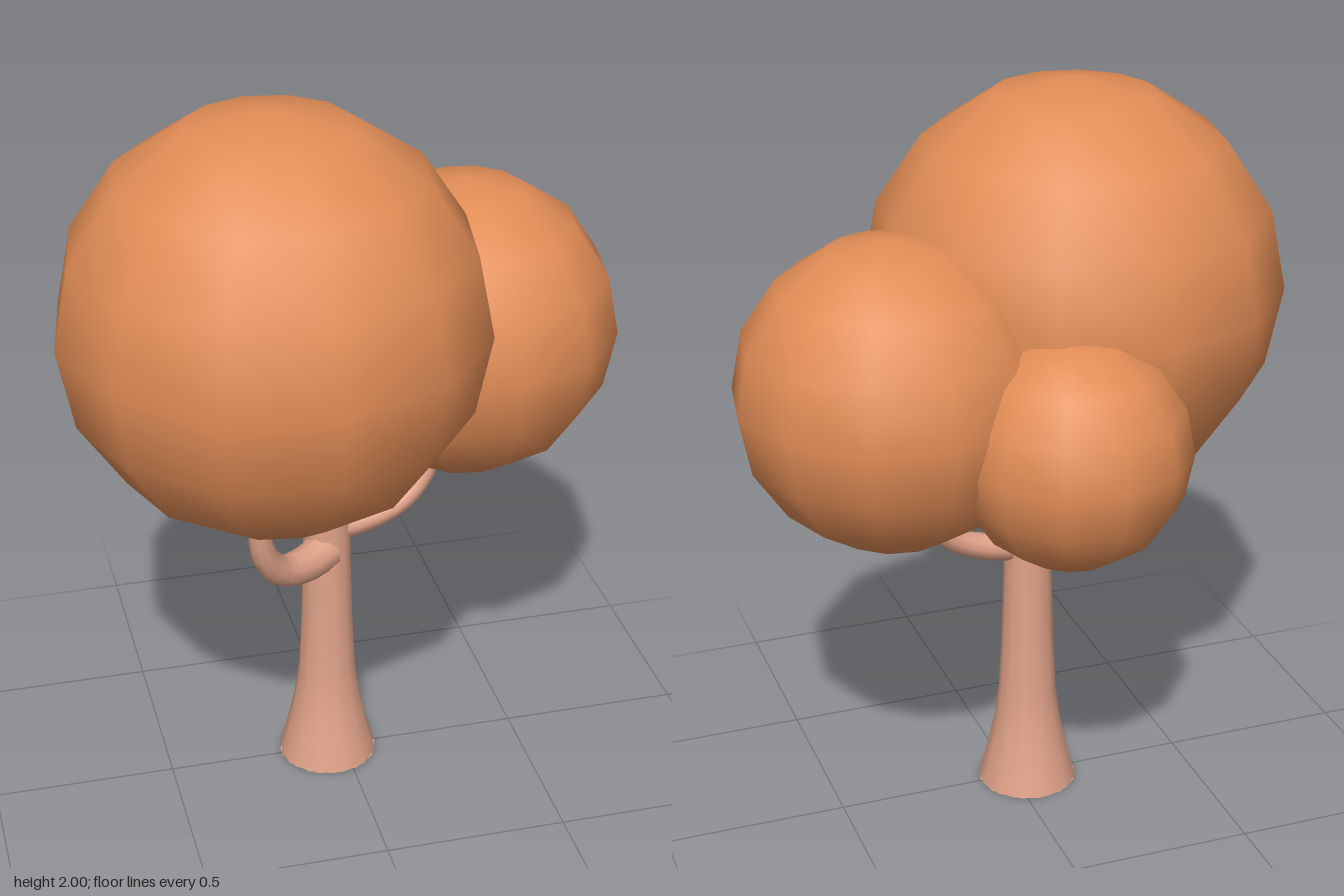
import * as THREE from 'three';

const TURN = 0.096; // slight turn shared by all round parts
const leafMaterial = new THREE.MeshStandardMaterial({ color: 0xe28d56 });
const barkMaterial = new THREE.MeshStandardMaterial({ color: 0xe0a288 });
barkMaterial.side = THREE.DoubleSide;

function add(group, name, geometry, material) {
  const mesh = new THREE.Mesh(geometry, material);
  mesh.name = name;
  group.add(mesh);
  return mesh;
}

// Tube along a smooth curve whose radius shrinks from r0 to r1
function taperedTube(points, r0, r1, rings = 14, sides = 10) {
  const curve = new THREE.CatmullRomCurve3(points.map((p) => new THREE.Vector3(...p)));
  const geometry = new THREE.TubeGeometry(curve, rings, 1, sides);
  const pos = geometry.attributes.position;
  const v = new THREE.Vector3();
  for (let i = 0; i <= rings; i++) {
    const centre = curve.getPointAt(i / rings);
    const r = THREE.MathUtils.lerp(r0, r1, i / rings);
    for (let j = 0; j <= sides; j++) {
      const k = i * (sides + 1) + j;
      v.fromBufferAttribute(pos, k).sub(centre).multiplyScalar(r).add(centre);
      pos.setXYZ(k, v.x, v.y, v.z);
    }
  }
  return geometry;
}

export function createModel() {
  const tree = new THREE.Group();
  tree.name = 'tree';

  // Trunk, flared at the foot
  const profile = [
    [0.137, 0], [0.112, 0.1], [0.093, 0.19], [0.08, 0.29],
    [0.072, 0.46], [0.067, 0.65], [0.063, 0.9], [0.06, 1.0],
  ].map(([r, y]) => new THREE.Vector2(r, y));
  const trunk = add(tree, 'trunk', new THREE.LatheGeometry(profile, 12, TURN), barkMaterial);
  trunk.position.set(-0.045, 0, -0.005);

  // Underside of the trunk
  const base = add(tree, 'trunkBase', new THREE.CircleGeometry(0.137, 12, TURN), barkMaterial);
  base.rotation.x = Math.PI / 2;
  base.position.set(-0.045, 0, -0.005);

  // Branches curving up into the crowns
  add(tree, 'frontBranch', taperedTube([
    [-0.055, 0.68, 0.02], [-0.12, 0.67, 0.065], [-0.2, 0.69, 0.115],
    [-0.25, 0.76, 0.145], [-0.268, 0.86, 0.157], [-0.272, 0.98, 0.16],
  ], 0.056, 0.02), barkMaterial);
  add(tree, 'sideBranch', taperedTube([
    [-0.03, 0.735, -0.005], [0.06, 0.745, -0.007], [0.15, 0.775, -0.01],
    [0.21, 0.82, -0.018], [0.25, 0.88, -0.025], [0.28, 0.97, -0.03],
  ], 0.043, 0.02), barkMaterial);
  add(tree, 'backBranch', taperedTube([
    [-0.045, 0.775, -0.01], [-0.045, 0.78, -0.08], [-0.044, 0.805, -0.155],
    [-0.043, 0.845, -0.205], [-0.04, 0.9, -0.24], [-0.04, 0.98, -0.26],
  ], 0.038, 0.019), barkMaterial);

  // Leaf crowns: name, radius, centre
  const crowns = [
    ['largeCrown', 0.565, [-0.21, 1.435, 0.107]],
    ['middleCrown', 0.415, [0.355, 1.275, -0.087]],
    ['smallCrown', 0.31, [-0.033, 1.17, -0.36]],
  ];
  for (const [name, radius, centre] of crowns) {
    const crown = add(tree, name, new THREE.SphereGeometry(radius, 12, 8, TURN), leafMaterial);
    crown.position.set(...centre);
  }
  return tree;
}
